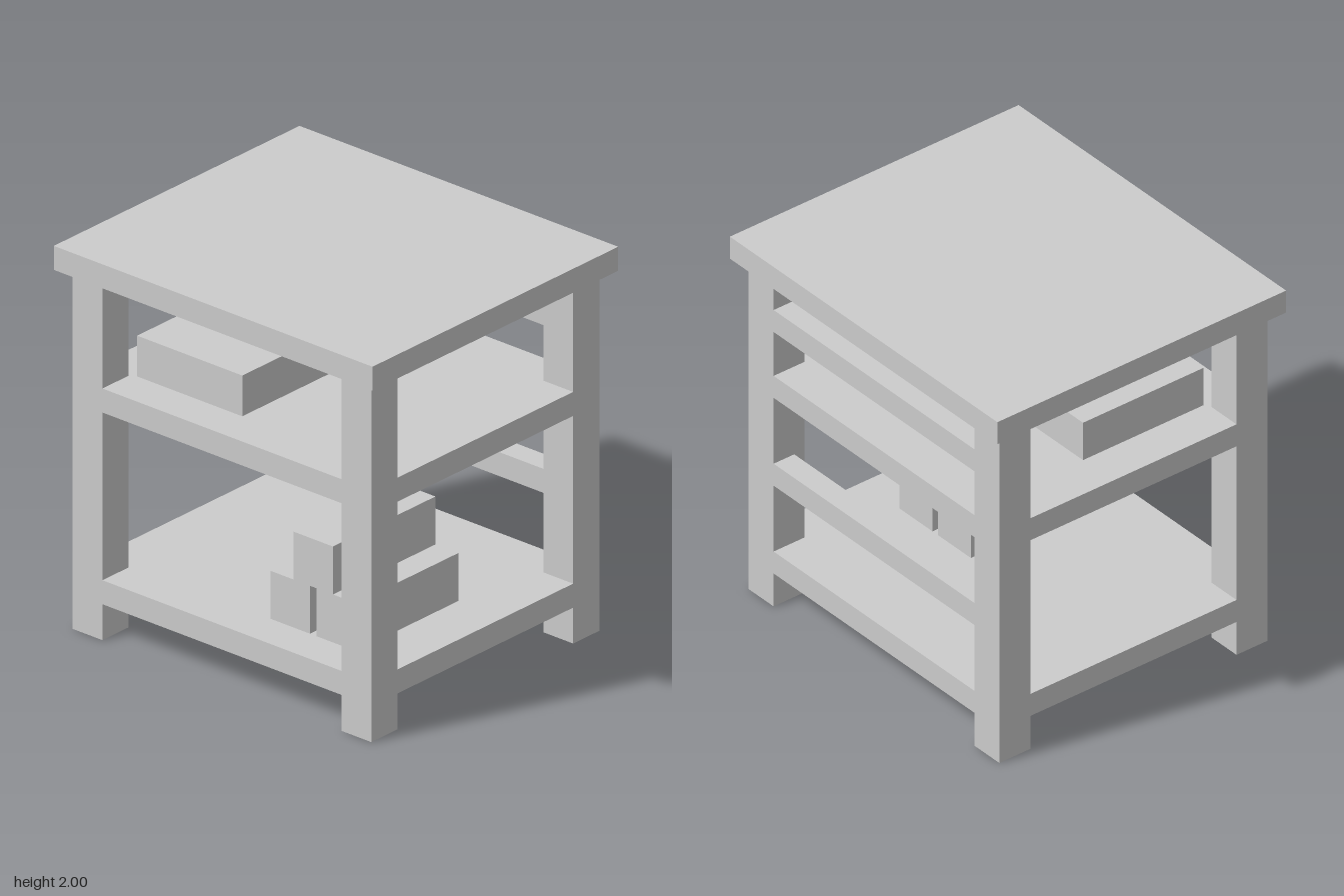
import * as THREE from 'three';

const material = new THREE.MeshStandardMaterial({ color: 0xcccccc, flatShading: true });

// Outer and inner faces of the legs
const OX = 0.9375, IX = 0.75, OZ = 0.8125, IZ = 0.625;

// Box given by its limits on each axis
function block(name, [x0, x1], [y0, y1], [z0, z1]) {
  const mesh = new THREE.Mesh(new THREE.BoxGeometry(x1 - x0, y1 - y0, z1 - z0), material);
  mesh.position.set((x0 + x1) / 2, (y0 + y1) / 2, (z0 + z1) / 2);
  mesh.name = name;
  return mesh;
}

// Shelf board with its corners notched around the legs
function shelf(name, y) {
  const outline = [
    [IX, -OZ], [IX, -IZ], [OX, -IZ], [OX, IZ], [IX, IZ], [IX, OZ],
    [-IX, OZ], [-IX, IZ], [-OX, IZ], [-OX, -IZ], [-IX, -IZ], [-IX, -OZ],
  ].map(([x, z]) => new THREE.Vector2(x, z));
  const geometry = new THREE.ExtrudeGeometry(new THREE.Shape(outline), { depth: 0.125, bevelEnabled: false });
  geometry.rotateX(-Math.PI / 2);
  const mesh = new THREE.Mesh(geometry, material);
  mesh.position.y = y;
  mesh.name = name;
  return mesh;
}

export function createModel() {
  const model = new THREE.Group();
  model.name = 'shelfTable';

  model.add(block('tableTop', [-1, 1], [1.875, 2], [-0.875, 0.875]));

  // Four square legs
  for (const [side, xs] of [['Left', [IX, OX]], ['Right', [-OX, -IX]]]) {
    model.add(block(`front${side}Leg`, xs, [0, 1.875], [IZ, OZ]));
    model.add(block(`back${side}Leg`, xs, [0, 1.875], [-OZ, -IZ]));
  }

  model.add(shelf('lowerShelf', 0.1875), shelf('upperShelf', 1.1875));

  // Rails between the back legs
  model.add(block('lowerBackRail', [-IX, IX], [0.6875, 0.8125], [-OZ, -OZ + 0.125]));
  model.add(block('upperBackRail', [-IX, IX], [1.5625, 1.6875], [-OZ, -OZ + 0.125]));

  // Stored boxes: one above, a stack of three below
  const depth = [-0.125, 0.605];
  model.add(block('upperBox', [-0.715, -0.055], [1.3125, 1.525], depth));
  model.add(block('stackRightBox', [0.123, 0.37], [0.3125, 0.5625], depth));
  model.add(block('stackLeftBox', [0.41, 0.657], [0.3125, 0.5625], depth));
  model.add(block('stackTopBox', [0.267, 0.514], [0.5625, 0.8125], depth));

  return model;
}
